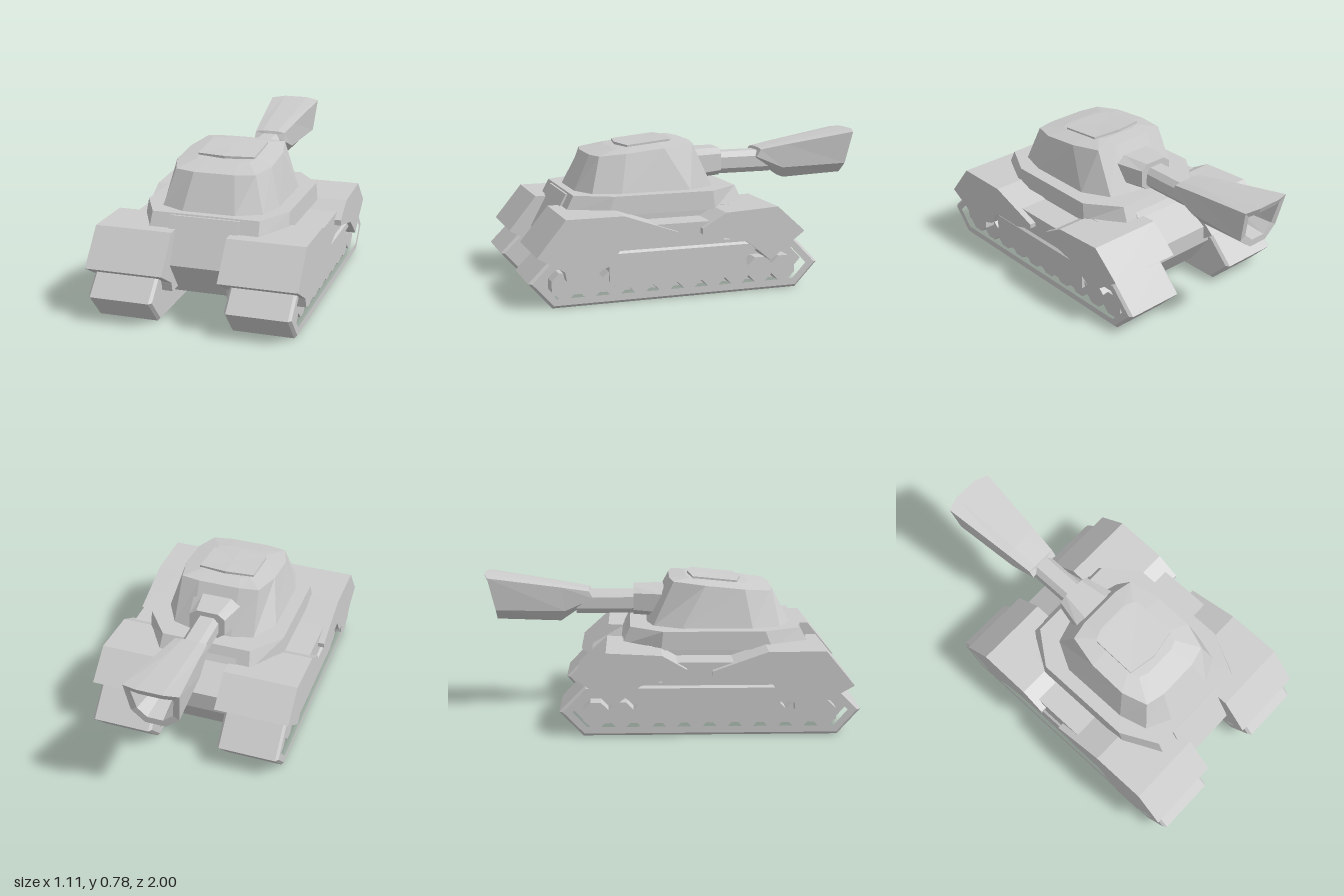
import * as THREE from 'three';

const material = new THREE.MeshStandardMaterial({ color: 0xcccccc, flatShading: true });

function addMesh(parent, name, geometry) {
  const mesh = new THREE.Mesh(geometry, material);
  mesh.name = name;
  parent.add(mesh);
  return mesh;
}

// Extrude a side profile of [z, y] points across x0..x1
function sideExtrude(profile, x0, x1, { hole, bevel = 0 } = {}) {
  const toVec = ([z, y]) => new THREE.Vector2(z, y);
  const shape = new THREE.Shape(profile.map(toVec));
  if (hole) shape.holes.push(new THREE.Path(hole.map(toVec)));
  const geometry = new THREE.ExtrudeGeometry(shape, {
    depth: x1 - x0 - 2 * bevel,
    bevelEnabled: bevel > 0, bevelSize: bevel, bevelThickness: bevel, bevelOffset: -bevel, bevelSegments: 1,
  });
  geometry.rotateY(-Math.PI / 2);
  return geometry.translate(x1 - bevel, 0, 0);
}

// Skin a list of equal-length rings and close both ends
function loft(rings) {
  const n = rings[0].length;
  const tris = [];
  for (let r = 0; r + 1 < rings.length; r++) {
    for (let i = 0; i < n; i++) {
      const j = (i + 1) % n;
      const [a, b, c, d] = [rings[r][i], rings[r][j], rings[r + 1][j], rings[r + 1][i]];
      tris.push([a, b, c], [a, c, d]);
    }
  }
  const cap = (ring, flip) => {
    const mid = [0, 1, 2].map((k) => ring.reduce((sum, p) => sum + p[k], 0) / n);
    ring.forEach((p, i) => {
      const q = ring[(i + 1) % n];
      tris.push(flip ? [mid, q, p] : [mid, p, q]);
    });
  };
  cap(rings[0], true);
  cap(rings[rings.length - 1], false);

  // Turn the faces outward if the enclosed volume comes out negative
  const volume = tris.reduce((sum, [a, b, c]) => sum
    + a[0] * (b[1] * c[2] - b[2] * c[1])
    + a[1] * (b[2] * c[0] - b[0] * c[2])
    + a[2] * (b[0] * c[1] - b[1] * c[0]), 0);
  if (volume < 0) tris.forEach((t) => t.reverse());

  const geometry = new THREE.BufferGeometry();
  geometry.setAttribute('position', new THREE.Float32BufferAttribute(tris.flat(2), 3));
  geometry.computeVertexNormals();
  return geometry;
}

// Complete a half ring (x > 0) with its mirror image
const mirrorRing = (half) => [...half, ...half.slice().reverse().map(([x, y, z]) => [-x, y, z])];
// Half ring from plan points [x, z] at a height that may depend on z
const planRing = (points, height) => mirrorRing(points.map(([x, z]) => [x, height(z), z]));

// One running-gear side, built at +x
function createSide() {
  const side = new THREE.Group();

  // Track belt with a recessed core
  const outer = [[1, 0.135], [0.88, 0], [-0.45, 0], [-0.575, 0.13], [-0.44, 0.27], [0.865, 0.27]];
  const inner = [[0.95, 0.135], [0.865, 0.035], [-0.435, 0.035], [-0.525, 0.13], [-0.425, 0.235], [0.85, 0.235]];
  addMesh(side, 'trackBelt', sideExtrude(outer, 0.188, 0.53, { hole: inner, bevel: 0.014 }));
  addMesh(side, 'trackCore', sideExtrude(inner, 0.2, 0.42));

  // Road wheels
  for (let i = 0; i < 10; i++) {
    const wheel = new THREE.CylinderGeometry(0.072, 0.072, 0.1, 8);
    wheel.rotateY(Math.PI / 8).rotateZ(Math.PI / 2).translate(0.45, 0.105, 0.81 - i * 0.133);
    addMesh(side, 'roadWheel', wheel);
  }

  // Plate over the wheels
  addMesh(side, 'wheelPlate', sideExtrude([
    [0.58, 0.11], [0.55, 0.08], [-0.13, 0.08], [-0.17, 0.11], [-0.17, 0.25], [-0.14, 0.285], [0.52, 0.285], [0.58, 0.24],
  ], 0.4, 0.518));

  // Fenders
  addMesh(side, 'frontFender', sideExtrude([
    [0.96, 0.27], [0.81, 0.453], [0.51, 0.453], [0.22, 0.35], [0.22, 0.325], [0.34, 0.285],
    [0.53, 0.285], [0.59, 0.2], [0.65, 0.18], [0.65, 0.14], [0.81, 0.14], [0.82, 0.19],
  ], 0.145, 0.555));
  addMesh(side, 'rearFender', sideExtrude([
    [-0.485, 0.31], [-0.33, 0.45], [-0.04, 0.435], [0.09, 0.36], [0.09, 0.33], [-0.15, 0.275],
    [-0.2, 0.24], [-0.29, 0.165], [-0.38, 0.235],
  ], 0.145, 0.555));

  // Sponson between the fenders
  addMesh(side, 'sponson', new THREE.BoxGeometry(0.2, 0.11, 0.44).translate(0.42, 0.335, 0.18));
  return side;
}

export function createModel() {
  const tank = new THREE.Group();
  tank.name = 'tank';

  // Hull
  addMesh(tank, 'hull', sideExtrude([
    [0.72, 0.515], [0.84, 0.29], [0.71, 0.11], [0.62, 0.07], [-0.3, 0.07], [-0.42, 0.24], [-0.42, 0.34],
    [-0.25, 0.44], [-0.2, 0.515],
  ], -0.184, 0.184));
  addMesh(tank, 'upperHull', new THREE.BoxGeometry(0.72, 0.17, 0.76).translate(0, 0.355, 0.2));

  // Deck collar under the turret
  addMesh(tank, 'deckCollar', loft([
    planRing([[0.29, 0.755], [0.39, 0.55], [0.39, -0.04], [0.26, -0.25]], () => 0.425),
    planRing([[0.285, 0.705], [0.385, 0.51], [0.385, -0.03], [0.25, -0.205]], () => 0.523),
  ]));

  // Turret, its roof rising toward the gun
  const roof = (rise) => (z) => 0.772 + rise - 0.1 * z;
  addMesh(tank, 'turret', loft([
    planRing([[0.14, 0.665], [0.27, 0.6], [0.312, 0.45], [0.312, 0.07], [0.23, -0.08], [0.11, -0.115]], () => 0.52),
    planRing([[0.11, 0.57], [0.215, 0.545], [0.26, 0.41], [0.258, 0.2], [0.22, 0.03], [0.115, 0.01]], roof(-0.008)),
    planRing([[0.09, 0.44], [0.14, 0.42], [0.16, 0.36], [0.16, 0.2], [0.14, 0.12], [0.09, 0.1]], roof(0.01)),
  ]));

  // Roof hatch
  const hatchPlan = [[0, 0.402], [0.155, 0.375], [0.155, 0.135], [0, 0.112]];
  const hatchRing = (lift) => {
    const half = hatchPlan.map(([x, z]) => [x, 0.765 + lift - 0.1 * z + (x ? 0 : 0.004), z]);
    return [...half, ...half.slice(1, -1).reverse().map(([x, y, z]) => [-x, y, z])];
  };
  addMesh(tank, 'hatch', loft([hatchRing(0), hatchRing(0.027)]));

  // Mantlet and barrel
  const gunRing = (w, bottom, top, z) => mirrorRing([
    [w * 0.6, top, z], [w, top - 0.03, z], [w, bottom + 0.03, z], [w * 0.6, bottom, z],
  ]);
  addMesh(tank, 'mantlet', loft([gunRing(0.15, 0.54, 0.705, 0.05), gunRing(0.135, 0.545, 0.705, -0.03),
    gunRing(0.1, 0.553, 0.705, -0.185)]));
  addMesh(tank, 'barrel', loft([gunRing(0.064, 0.555, 0.677, -0.15), gunRing(0.064, 0.555, 0.677, -0.5)]));

  // Flared muzzle, its mouth hollow and slanted
  addMesh(tank, 'muzzle', loft([
    mirrorRing([[0.045, 0.692, -0.43], [0.088, 0.685, -0.43], [0.088, 0.645, -0.405], [0.045, 0.635, -0.41]]),
    mirrorRing([[0.052, 0.718, -0.58], [0.104, 0.71, -0.58], [0.098, 0.578, -0.56], [0.045, 0.515, -0.585]]),
    mirrorRing([[0.07, 0.78, -1], [0.147, 0.77, -0.975], [0.128, 0.59, -0.935], [0.055, 0.53, -0.935]]),
    mirrorRing([[0.058, 0.745, -0.985], [0.112, 0.735, -0.965], [0.095, 0.61, -0.935], [0.042, 0.565, -0.935]]),
    mirrorRing([[0.04, 0.7, -0.72], [0.07, 0.69, -0.72], [0.06, 0.62, -0.72], [0.03, 0.59, -0.72]]),
  ]));

  // Running gear: the right side is the left turned half round in mesh form
  const left = createSide();
  left.name = 'leftRunningGear';
  const right = createSide();
  right.name = 'rightRunningGear';
  right.scale.x = -1;
  tank.add(left, right);
  return tank;
}
